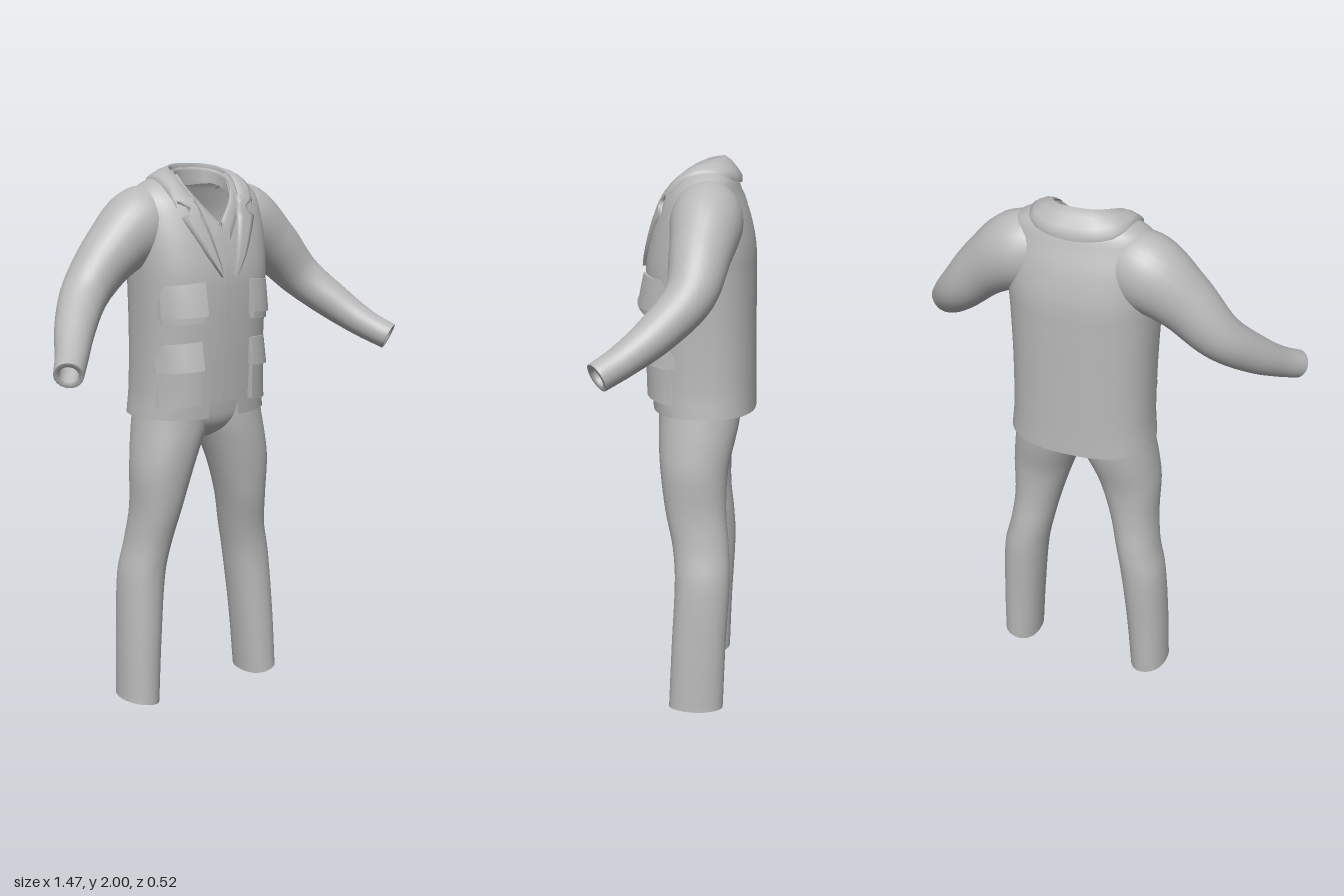
import * as THREE from 'three';

const V = (x, y, z) => new THREE.Vector3(x, y, z);

// Smooth interpolation of a table whose rows start with their height
function sample(table, y) {
  const n = table.length;
  let i = 0;
  while (i < n - 2 && y > table[i + 1][0]) i++;
  const a = table[i], b = table[i + 1], p = table[Math.max(i - 1, 0)], q = table[Math.min(i + 2, n - 1)];
  const d = b[0] - a[0], t = THREE.MathUtils.clamp((y - a[0]) / d, 0, 1);
  return a.map((v, k) => {
    const m0 = (b[k] - p[k]) / (b[0] - p[0]) * d, m1 = (q[k] - v) / (q[0] - a[0]) * d;
    return v * (2 * t ** 3 - 3 * t * t + 1) + m0 * (t ** 3 - 2 * t * t + t)
      + b[k] * (3 * t * t - 2 * t ** 3) + m1 * (t ** 3 - t * t);
  });
}

// Skin over rows of points
function loft(rows, closed = false) {
  const n = rows[0].length, index = [], cols = closed ? n : n - 1;
  for (let r = 0; r < rows.length - 1; r++) {
    for (let c = 0; c < cols; c++) {
      const a = r * n + c, b = r * n + (c + 1) % n;
      index.push(a, b, a + n, b, b + n, a + n);
    }
  }
  const g = new THREE.BufferGeometry().setFromPoints(rows.flat());
  g.setIndex(index);
  g.computeVertexNormals();
  return g;
}

function mirrored(geometry) {
  const g = geometry.clone().scale(-1, 1, 1), ix = g.index.array;
  for (let i = 0; i < ix.length; i += 3) [ix[i], ix[i + 1]] = [ix[i + 1], ix[i]];
  g.computeVertexNormals();
  return g;
}

// Horizontal superellipse, optionally open at the front by a half gap
function section(y, cx, w, zf, zb, n, gap = null) {
  const open = gap !== null, a0 = open ? Math.asin(Math.min(1, (Math.max(gap, 0) / w) ** (n / 2))) : 0;
  const pw = v => Math.sign(v) * Math.abs(v) ** (2 / n), segs = 56, pts = [];
  for (let i = 0; i < segs + (open ? 1 : 0); i++) {
    const a = a0 + (2 * Math.PI - 2 * a0) * i / segs;
    pts.push(V(cx + w * pw(Math.sin(a)), y, (zf + zb) / 2 + (zf - zb) / 2 * pw(Math.cos(a))));
  }
  return pts;
}

function heights(from, to, count) {
  return Array.from({ length: count + 1 }, (_, i) => from + (to - from) * i / count);
}

// Jacket body: y, half width, front z, back z, half gap
const BODY = [
  [1.105, 0.265, 0.115, -0.262, 0.066], [1.2, 0.256, 0.122, -0.26, 0.058], [1.4, 0.254, 0.135, -0.258, 0.042],
  [1.6, 0.26, 0.14, -0.256, 0.027], [1.7, 0.264, 0.125, -0.252, 0.045], [1.8, 0.262, 0.096, -0.23, 0.07],
  [1.88, 0.25, 0.06, -0.2, 0.093], [1.93, 0.218, 0.015, -0.18, 0.1], [1.965, 0.14, -0.02, -0.15, 0.1],
];
const N = 2.4;

function frontZ(x, y) {
  const [, w, zf, zb] = sample(BODY, y);
  const u = Math.min(Math.abs(x) / w, 0.985);
  return (zf + zb) / 2 + (zf - zb) / 2 * (1 - u ** N) ** (1 / N);
}

// Rolled collar from one half of its crest and outer edge, back centre first
function collar(crest, outer, steps = 60) {
  const curve = half => new THREE.CatmullRomCurve3(
    [...half.slice(1).reverse().map(p => V(...p)), ...half.map(p => V(-p[0], p[1], p[2]))], false, 'centripetal');
  const c = curve(crest), o = curve(outer), rows = [];
  for (let i = 0; i <= steps; i++) {
    const a = c.getPoint(i / steps), b = o.getPoint(i / steps);
    rows.push([
      a.clone().add(V(0, -0.05, 0)), a.clone().add(V(0, -0.012, 0)), a,
      a.clone().lerp(b, 0.4).add(V(0, 0.009, 0)), a.clone().lerp(b, 0.8).add(V(0, 0.006, 0)),
      b, b.clone().add(V(0, -0.02, 0)),
    ]);
  }
  return loft(rows);
}

// Sleeve: centre x, y, z, radius in the vertical plane, sideways radius
function sleeve() {
  const keys = [
    [0.12, 1.82, -0.09, 0.11, 0.1], [0.22, 1.79, -0.09, 0.135, 0.125], [0.35, 1.7, -0.078, 0.106, 0.106],
    [0.47, 1.575, -0.05, 0.083, 0.086], [0.57, 1.468, 0.05, 0.068, 0.07], [0.64, 1.393, 0.15, 0.055, 0.056],
    [0.693, 1.35, 0.224, 0.05, 0.05],
  ];
  const path = new THREE.CatmullRomCurve3(keys.map(k => V(k[0], k[1], k[2])));
  const last = keys.length - 1, table = keys.map((k, i) => [i / last, k[3], k[4]]);
  const ring = (t, k) => {
    const p = path.getPoint(t), dir = path.getTangent(t);
    const A = dir.clone().cross(V(0, 1, 0)).normalize(), B = dir.clone().cross(A);
    const [, rv, rs] = sample(table, t);
    return Array.from({ length: 28 }, (_, i) => {
      const a = i / 28 * Math.PI * 2;
      return p.clone().addScaledVector(A, Math.cos(a) * rs * k).addScaledVector(B, Math.sin(a) * rv * k);
    });
  };
  const rows = heights(0, 1, 40).map(t => ring(t, 1));
  // Turned-in cuff
  rows.push(ring(1, 0.97), ring(1, 0.68), ring(0.985, 0.64), ring(0.88, 0.6));
  return loft(rows, true);
}

// Trouser leg: y, inner x, outer x, front z, back z
function leg() {
  const keys = [
    [0, 0.205, 0.35, 0.04, -0.16], [0.25, 0.185, 0.342, 0.03, -0.168], [0.5, 0.158, 0.325, 0.02, -0.18],
    [0.62, 0.135, 0.298, 0.03, -0.175], [0.75, 0.105, 0.283, 0.058, -0.163], [0.9, 0.058, 0.284, 0.078, -0.168],
    [1.0, 0.018, 0.272, 0.085, -0.19], [1.06, -0.01, 0.262, 0.086, -0.203], [1.16, -0.03, 0.245, 0.086, -0.215],
  ];
  return loft(heights(0, 1.16, 40).map(y => {
    const [, xi, xo, zf, zb] = sample(keys, y);
    const pts = section(y, (xi + xo) / 2, (xo - xi) / 2, zf, zb, 2.15);
    // Hem dips slightly towards the front centre
    if (y === 0) pts.forEach(p => { p.y = 0.01 + 0.01 * Math.sin((p.x - 0.275) * 20); });
    return pts;
  }), true);
}

// Block bent onto the jacket front; thickness differs between top and bottom
function patch(x0, x1, y0, y1, top, bottom) {
  const g = new THREE.BoxGeometry(1, 1, 1, 10, 6, 1), p = g.attributes.position;
  for (let i = 0; i < p.count; i++) {
    const u = p.getX(i), v = p.getY(i) + 0.5;
    const x = x0 + (x1 - x0) * (u + 0.5), y = y0 + (y1 - y0) * v - 0.012 * (u + 0.5);
    const d = p.getZ(i) > 0 ? bottom + (top - bottom) * v : -0.015;
    p.setXYZ(i, x + (p.getZ(i) > 0 ? -0.016 * u : 0), y, frontZ(x, y) + d);
  }
  g.computeVertexNormals();
  return g;
}

// Notched lapel: y, inner x, outer x
function lapel() {
  const rows = [
    [1.615, 0.026, 0.03], [1.65, 0.033, 0.055], [1.69, 0.043, 0.082], [1.73, 0.053, 0.103], [1.775, 0.064, 0.128],
    [1.82, 0.076, 0.152], [1.835, 0.08, 0.125], [1.855, 0.086, 0.122], [1.872, 0.091, 0.158], [1.89, 0.095, 0.164],
  ];
  return loft(rows.map(([y, a, b]) => [0, 0, 0.25, 0.5, 0.75, 1, 1].map((t, i) => {
    const x = a + (b - a) * t;
    return V(x, y, frontZ(x, y) + (i === 0 || i === 6 ? -0.006 : 0.014));
  })));
}

export function createModel() {
  const model = new THREE.Group();
  model.name = 'outfit';
  const fabric = new THREE.MeshStandardMaterial({ color: 0xb8b8b8, side: THREE.DoubleSide });
  fabric.name = 'greyFabric';
  const add = (name, geometry) => {
    const mesh = new THREE.Mesh(geometry, fabric);
    mesh.name = name;
    model.add(mesh);
  };
  const pair = (name, geometry) => {
    add('left' + name, geometry);
    add('right' + name, mirrored(geometry));
  };

  // Jacket
  add('jacketBody', loft(heights(1.105, 1.965, 50).map(y => {
    const [, w, zf, zb, gap] = sample(BODY, y);
    return section(y, 0, w, zf, zb, N, gap);
  })));
  pair('Sleeve', sleeve());
  pair('Lapel', lapel());
  add('jacketCollar', collar(
    [[0, 2, -0.14], [0.065, 1.998, -0.128], [0.108, 1.988, -0.08], [0.118, 1.962, -0.02], [0.108, 1.915, 0.035], [0.092, 1.872, 0.072]],
    [[0, 1.93, -0.2], [0.095, 1.938, -0.188], [0.16, 1.95, -0.145], [0.18, 1.952, -0.05], [0.172, 1.915, 0.025], [0.162, 1.872, 0.056]]));

  // Pockets with flaps
  for (const [name, x0, x1, y0, y1] of [['Chest', 0.092, 0.24, 1.46, 1.6], ['Hip', 0.1, 0.246, 1.16, 1.39]]) {
    const flap = name === 'Chest' ? y0 + 0.025 : y0 + 0.13;
    pair(name + 'Pocket', patch(x0 + 0.006, x1 - 0.006, y0, y1 - 0.02, 0.012, 0.02));
    pair(name + 'PocketFlap', patch(x0, x1, flap, y1, 0.008, 0.032));
  }

  // Shirt under the jacket
  const neckline = [[1.15, 0], [1.78, 0], [1.8, 0.005], [1.88, 0.07], [1.945, 0.1]];
  add('shirt', loft(heights(1.16, 1.945, 40).map(y => {
    const [, w, zf, zb] = sample(BODY, y);
    return section(y, 0, w - 0.025, zf - 0.014, zb + 0.02, N, sample(neckline, y)[1]);
  })));
  add('shirtCollar', collar(
    [[0, 1.985, -0.122], [0.055, 1.983, -0.11], [0.093, 1.972, -0.068], [0.1, 1.945, -0.01], [0.072, 1.885, 0.045], [0.004, 1.8, 0.088]],
    [[0, 1.94, -0.145], [0.075, 1.945, -0.13], [0.118, 1.945, -0.075], [0.12, 1.915, 0.0], [0.1, 1.855, 0.055], [0.03, 1.755, 0.105]]));

  // Trousers
  pair('TrouserLeg', leg());
  const hips = [
    [1.01, 0.03, 0.0, -0.1], [1.04, 0.1, 0.05, -0.165], [1.08, 0.19, 0.078, -0.198],
    [1.13, 0.24, 0.088, -0.214], [1.2, 0.235, 0.095, -0.22],
  ];
  add('trouserHips', loft(heights(1.01, 1.2, 14).map(y => {
    const [, w, zf, zb] = sample(hips, y);
    return section(y, 0, w, zf, zb, 2.3);
  }), true));

  return model;
}
